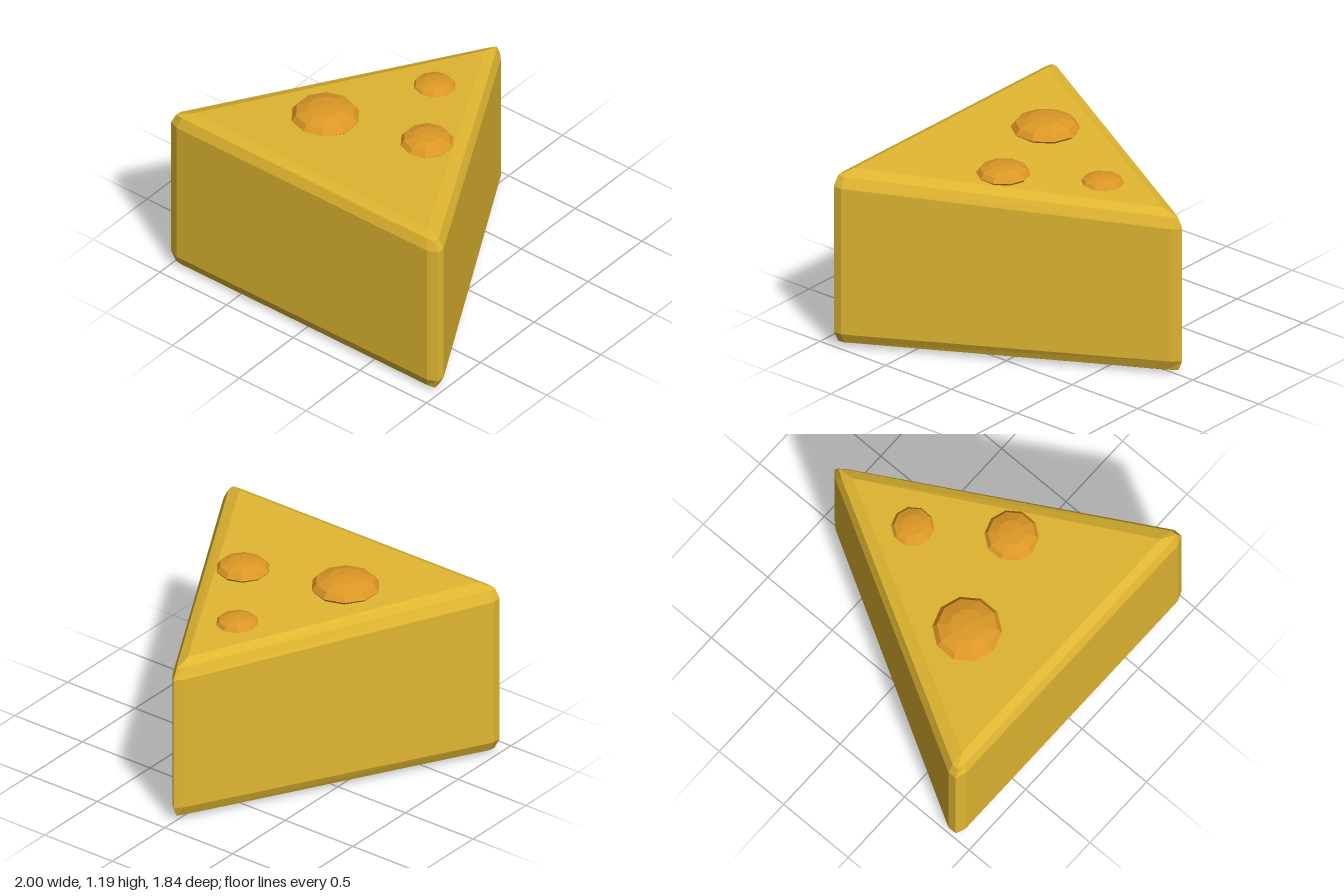
import * as THREE from 'three';

// Outlines run anticlockwise seen from above: three points at each corner
const INNER = [[0.88, 0.84], [0.88, 0.84], [0.88, 0.84], [0, -0.78], [0, -0.78], [0, -0.78], [-0.88, 0.84], [-0.88, 0.84], [-0.88, 0.84]];
const MIDDLE = [[0.92, 0.893], [0.97, 0.886], [0.967, 0.845], [0.035, -0.835], [0, -0.89], [-0.035, -0.835], [-0.967, 0.845], [-0.97, 0.886], [-0.92, 0.893]];
const OUTER = [[0.94, 0.92], [1, 0.895], [1, 0.84], [0.043, -0.875], [0, -0.92], [-0.043, -0.875], [-1, 0.84], [-1, 0.895], [-0.94, 0.92]];

// Height of the sloping top
const topY = (z) => 1.088 + 0.0494 * z;

function wedgeGeometry() {
  const low = (ring, y) => ring.map(([x, z]) => [x, y, z]);
  const high = (ring, drop) => ring.map(([x, z]) => [x, topY(z) - drop, z]);
  const rings = [
    low(INNER, 0), low(MIDDLE, 0.03), low(OUTER, 0.095),
    high(OUTER, 0.092), high(MIDDLE, 0.028), high(INNER, 0),
  ];
  const positions = [];
  const same = (p, q) => p.every((v, i) => v === q[i]);
  const tri = (a, b, c) => {
    if (!same(a, b) && !same(b, c) && !same(a, c)) positions.push(...a, ...b, ...c);
  };
  // Walls and two-step rounded edges
  for (let r = 0; r < rings.length - 1; r++) {
    for (let i = 0; i < 9; i++) {
      const j = (i + 1) % 9, a = rings[r], b = rings[r + 1];
      tri(a[i], a[j], b[j]);
      tri(a[i], b[j], b[i]);
    }
  }
  // Bottom and top
  tri(rings[0][6], rings[0][3], rings[0][0]);
  tri(rings[5][0], rings[5][3], rings[5][6]);
  const geometry = new THREE.BufferGeometry();
  geometry.setAttribute('position', new THREE.Float32BufferAttribute(positions, 3));
  geometry.computeVertexNormals();
  return geometry;
}

export function createModel() {
  const group = new THREE.Group();
  group.name = 'cheeseWedge';
  const cheese = new THREE.MeshStandardMaterial({ name: 'cheeseYellow', color: 0xe0b631, flatShading: true });
  const spot = new THREE.MeshStandardMaterial({ name: 'spotOrange', color: 0xdd9826, flatShading: true });

  const wedge = new THREE.Mesh(wedgeGeometry(), cheese);
  wedge.name = 'wedge';
  group.add(wedge);

  // Flattened round spots: x, y, z, radius, half height
  const spots = [
    ['largeSpot', -0.28, 1.113, 0.355, 0.205, 0.074],
    ['mediumSpot', 0.33, 1.104, 0.165, 0.16, 0.057],
    ['smallSpot', 0, 1.067, -0.31, 0.13, 0.046],
  ];
  for (const [name, x, y, z, radius, height] of spots) {
    const geometry = new THREE.SphereGeometry(1, 10, 6).rotateY(Math.PI / 2);
    const mesh = new THREE.Mesh(geometry, spot);
    mesh.name = name;
    mesh.scale.set(radius, height, radius);
    mesh.position.set(x, y, z);
    group.add(mesh);
  }
  return group;
}
